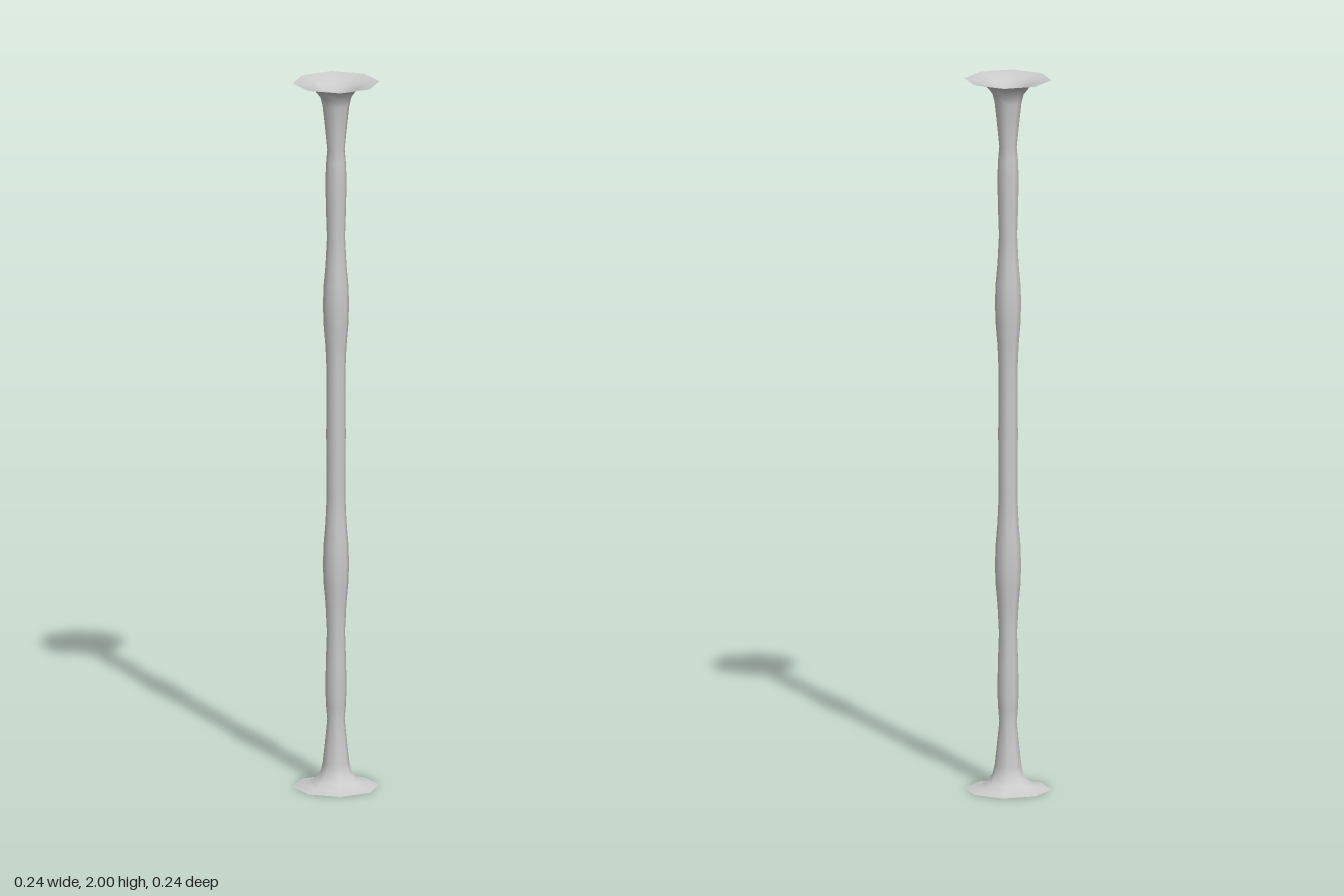
import * as THREE from 'three';

export function createModel() {
  const group = new THREE.Group();
  group.name = 'spindle';

  // Lower half of the profile: flared foot, slim neck, two swellings, waist
  const half = [
    [0.12, 0], [0.085, 0.007], [0.06, 0.02], [0.043, 0.042], [0.037, 0.065],
    [0.031, 0.12], [0.024, 0.19], [0.027, 0.225], [0.029, 0.27], [0.028, 0.35],
    [0.025, 0.44], [0.029, 0.52], [0.034, 0.575], [0.036, 0.63], [0.034, 0.69],
    [0.029, 0.75], [0.026, 0.82], [0.027, 1],
  ];
  // Mirror it about the middle
  const upper = half.slice(0, -1).reverse().map(([r, y]) => [r, 2 - y]);
  const points = [...half, ...upper].map(([r, y]) => new THREE.Vector2(r, y));

  // Open eight-sided tube
  const pole = new THREE.Mesh(
    new THREE.LatheGeometry(points, 8),
    new THREE.MeshStandardMaterial({ color: 0xcccccc, side: THREE.DoubleSide })
  );
  pole.name = 'flaredPole';
  group.add(pole);
  return group;
}
